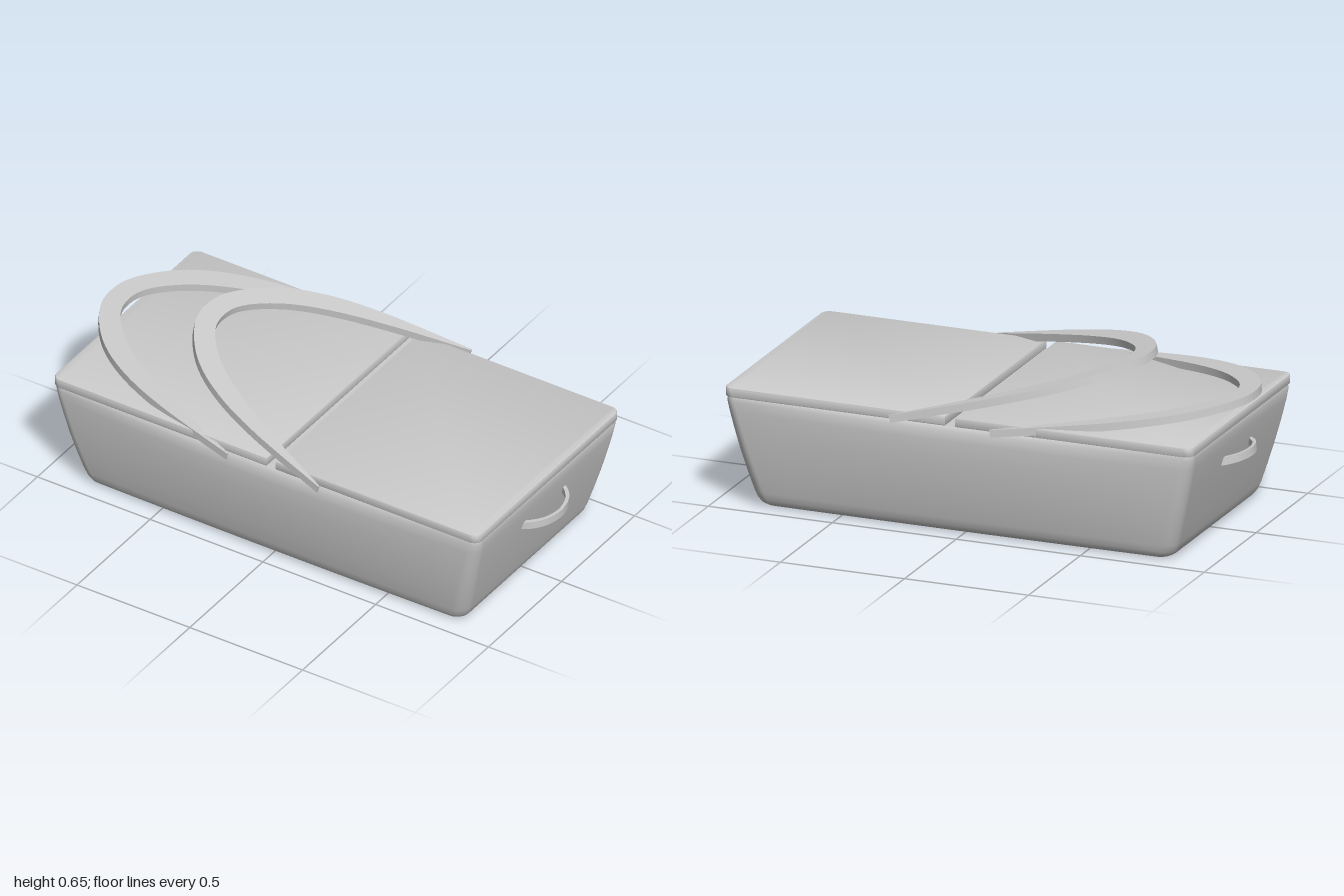
import * as THREE from 'three';
import { toCreasedNormals } from 'three/addons/utils/BufferGeometryUtils.js';

const material = new THREE.MeshStandardMaterial({ color: 0xcccccc });

function addMesh(group, name, geometry) {
  const mesh = new THREE.Mesh(geometry, material);
  mesh.name = name;
  group.add(mesh);
  return mesh;
}

// Rounded rectangle in plan; the long sides swell outward by `bulge`
function outline(hx, hz, r, bulge) {
  const pts = [];
  const corners = [[1, 1, 0], [-1, 1, 1], [-1, -1, 2], [1, -1, 3]];
  for (const [sx, sz, quarter] of corners) {
    for (let i = 0; i <= 6; i++) {
      const a = (quarter + i / 6) * Math.PI / 2;
      pts.push([sx * (hx - r) + r * Math.cos(a), sz * (hz - r) + r * Math.sin(a)]);
    }
    // extra points along the long sides
    if (quarter % 2 === 0) {
      for (let i = 1; i < 12; i++) pts.push([sx * (hx - r) * (1 - i / 6), sz * hz]);
    }
  }
  return pts.map(([x, z]) => [x, z + Math.sign(z) * bulge * Math.max(0, 1 - (x / hx) ** 2) * Math.min(1, Math.abs(z) / hz)]);
}

// Stack of outlines joined into a smooth wall, with a cap at each end
function tubShell(levels) {
  const pos = [], index = [];
  const loops = levels.map(([y, hx, hz, r, b]) => outline(hx, hz, r, b).map(([x, z]) => [x, y, z]));
  const n = loops[0].length;
  loops.forEach(loop => loop.forEach(p => pos.push(...p)));
  for (let k = 0; k < loops.length - 1; k++) {
    for (let i = 0; i < n; i++) {
      const j = (i + 1) % n;
      const a = k * n + i, b = k * n + j, c = b + n, d = a + n;
      index.push(a, d, c, a, c, b);
    }
  }
  const cap = (loop, up) => {
    const base = pos.length / 3;
    pos.push(0, loop[0][1], 0);
    loop.forEach(p => pos.push(...p));
    for (let i = 0; i < n; i++) {
      const a = base + 1 + i, b = base + 1 + (i + 1) % n;
      index.push(base, up ? b : a, up ? a : b);
    }
  };
  cap(loops[0], false);
  cap(loops[loops.length - 1], true);
  const g = new THREE.BufferGeometry();
  g.setAttribute('position', new THREE.Float32BufferAttribute(pos, 3));
  g.setIndex(index);
  g.computeVertexNormals();
  return g;
}

// Flat lid leaf from x = 0 to w, with its far corners rounded
function lidLeaf(w, hz, height) {
  const r = 0.035, b = 0.006;
  const s = new THREE.Shape();
  s.moveTo(b, -hz + b);
  s.lineTo(w - r, -hz + b);
  s.absarc(w - r, -hz + r, r - b, -Math.PI / 2, 0);
  s.lineTo(w - b, hz - r);
  s.absarc(w - r, hz - r, r - b, 0, Math.PI / 2);
  s.lineTo(b, hz - b);
  s.closePath();
  const g = new THREE.ExtrudeGeometry(s, {
    depth: height - 2 * b, bevelEnabled: true, bevelSize: b, bevelThickness: b, bevelSegments: 2, curveSegments: 6,
  });
  g.translate(0, 0, -height + b);
  g.rotateX(Math.PI / 2);
  g.translate(0, -height, 0);
  // top and bottom sit at y = height and y = 0
  g.computeBoundingBox();
  g.translate(0, -g.boundingBox.min.y, 0);
  return toCreasedNormals(g, 0.6);
}

// Flat bow: half curves are mirrored, peak at the origin, opening toward +x, top at y = 0
function bow(outerHalf, innerHalf, thickness) {
  const full = half => new THREE.SplineCurve([
    ...half.slice(1).reverse().map(([x, y]) => new THREE.Vector2(x, -y)),
    ...half.map(([x, y]) => new THREE.Vector2(x, y)),
  ]).getPoints(56);
  const shape = new THREE.Shape([...full(outerHalf), ...full(innerHalf).reverse()]);
  const g = new THREE.ExtrudeGeometry(shape, { depth: thickness, bevelEnabled: false });
  g.rotateX(Math.PI / 2);
  return toCreasedNormals(g, 0.5);
}

export function createModel() {
  const model = new THREE.Group();
  model.name = 'basket';

  // Tapered body: height, half width, half depth, corner radius, side bulge
  addMesh(model, 'body', tubShell([
    [0, 0.79, 0.39, 0.03, 0.004],
    [0.004, 0.812, 0.411, 0.04, 0.005],
    [0.015, 0.832, 0.426, 0.05, 0.006],
    [0.032, 0.845, 0.435, 0.055, 0.008],
    [0.06, 0.855, 0.443, 0.055, 0.01],
    [0.13, 0.875, 0.457, 0.055, 0.013],
    [0.22, 0.899, 0.471, 0.053, 0.017],
    [0.31, 0.921, 0.48, 0.05, 0.02],
    [0.38, 0.936, 0.485, 0.045, 0.02],
    [0.42, 0.942, 0.487, 0.04, 0.015],
    [0.435, 0.938, 0.484, 0.038, 0.006],
  ]));

  // Two lid leaves with a narrow gap between them
  const leftLid = addMesh(model, 'leftLid', lidLeaf(0.895, 0.49, 0.038));
  leftLid.position.set(0.05, 0.434, 0);
  const rightLid = addMesh(model, 'rightLid', lidLeaf(0.955, 0.49, 0.038));
  rightLid.rotation.y = Math.PI;
  rightLid.position.set(0.01, 0.434, 0);

  // Two large carrying handles, folded to one side
  const outer = [[0, 0], [0.03, 0.125], [0.14, 0.27], [0.3, 0.375], [0.52, 0.452], [0.86, 0.525]];
  const inner = [[0.08, 0], [0.11, 0.105], [0.22, 0.225], [0.38, 0.325], [0.6, 0.422], [0.86, 0.517]];
  for (const [name, x, y, drop] of [['lowerHandle', -0.997, 0.557, 0.102], ['upperHandle', -0.575, 0.655, 0.198]]) {
    const handle = addMesh(model, name, bow(outer, inner, 0.03));
    handle.position.set(x, y, 0);
    handle.rotation.z = -Math.atan2(drop, 0.85);
  }

  // Small grips on the two ends
  const gripOuter = [[0, 0], [0.014, 0.07], [0.048, 0.122], [0.09, 0.152]];
  const gripInner = [[0.013, 0], [0.027, 0.065], [0.058, 0.11], [0.09, 0.135]];
  const leftGrip = addMesh(model, 'leftGrip', bow(gripOuter, gripInner, 0.03));
  leftGrip.rotation.y = Math.PI;
  leftGrip.position.set(1, 0.326, 0);
  const rightGrip = addMesh(model, 'rightGrip', bow(gripOuter, gripInner, 0.03));
  rightGrip.rotation.z = -0.12;
  rightGrip.position.set(-0.985, 0.334, 0);

  return model;
}
